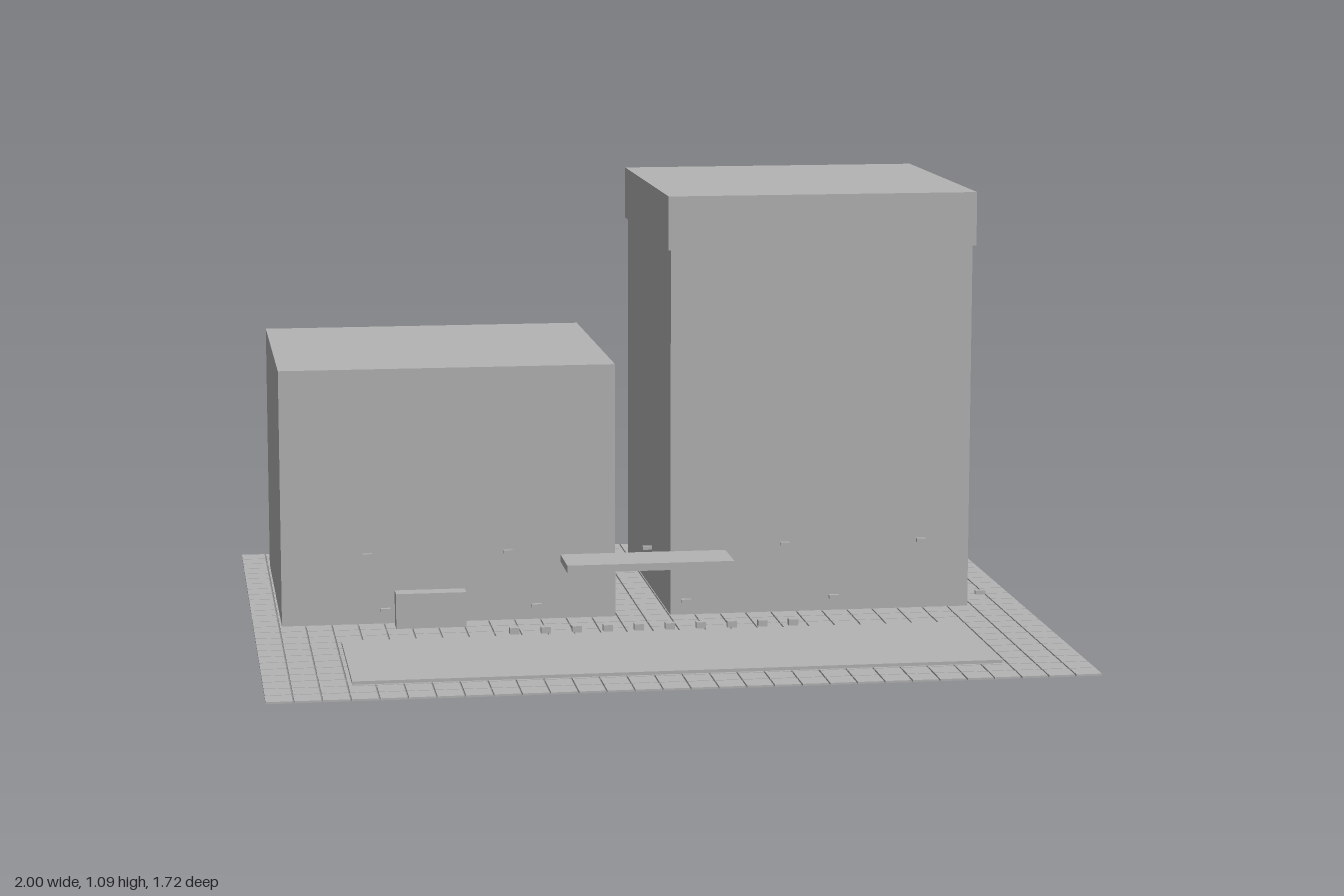
import * as THREE from 'three';

export function createModel() {
  const model = new THREE.Group();
  const concrete = new THREE.MeshStandardMaterial({ color: 0xb4b4b4 });
  concrete.name = 'concrete grey';

  // Box given by its minimum and maximum on each axis
  function block(name, [x0, x1], [y0, y1], [z0, z1], parent = model) {
    const mesh = new THREE.Mesh(new THREE.BoxGeometry(x1 - x0, y1 - y0, z1 - z0), concrete);
    mesh.position.set((x0 + x1) / 2, (y0 + y1) / 2, (z0 + z1) / 2);
    mesh.name = name;
    parent.add(mesh);
    return mesh;
  }
  function group(name) {
    const g = new THREE.Group();
    g.name = name;
    model.add(g);
    return g;
  }

  // Paving: separate slabs with narrow open joints
  const columns = 30, rows = 26, gap = 0.004;
  const pitchX = (2 + gap) / columns, pitchZ = (1.72 + gap) / rows;
  const slab = new THREE.BoxGeometry(pitchX - gap, 0.005, pitchZ - gap);
  const paving = new THREE.InstancedMesh(slab, concrete, 0);
  paving.dispose();
  const pavingGroup = group('paving');
  for (let i = 0; i < columns; i++) {
    for (let j = 0; j < rows; j++) {
      const tile = new THREE.Mesh(slab, concrete);
      tile.name = 'pavingSlab';
      tile.position.set((i - (columns - 1) / 2) * pitchX, 0.0025, (j - (rows - 1) / 2) * pitchZ);
      pavingGroup.add(tile);
    }
  }

  // Low building
  block('lowBuilding', [-0.928, -0.072], [0.003, 0.662], [-0.715, 0.068]);

  // Tower with an overhanging crown and vertical fins on its left side
  const tower = group('tower');
  block('towerBody', [0.071, 0.856], [0.003, 0.955], [-0.714, 0.072], tower);
  block('towerCrown', [0.064, 0.864], [0.952, 1.09], [-0.72, 0.08], tower);
  for (let i = 0; i < 18; i++) {
    const z = 0.01 - i * 0.0395;
    block('towerFin', [0.854, 0.862], [0.003, 0.952], [z - 0.003, z + 0.003], tower);
  }

  // Entrance canopy, sign wall and raised forecourt
  block('canopy', [-0.214, 0.214], [0.153, 0.172], [0.07, 0.214]);
  block('signWall', [-0.642, -0.463], [0.003, 0.095], [0.09, 0.137]);
  block('forecourt', [-0.79, 0.79], [0.003, 0.013], [0.286, 0.718]);

  // Row of bollard heads
  const bollards = group('bollards');
  for (let i = 0; i < 10; i++) {
    const x = (i - 4.5) * 0.079;
    block('bollard', [x - 0.012, x + 0.012], [0.014, 0.03], [0.262, 0.28], bollards);
  }

  // Two rows of lamp heads
  const lamps = group('lamps');
  for (const z of [0.144, 0.787]) {
    for (let i = -2; i <= 2; i++) {
      const x = i * 0.357;
      block('lampHead', [x - 0.012, x + 0.012], [0.194, 0.203], [z - 0.006, z + 0.006], lamps);
    }
  }
  return model;
}
